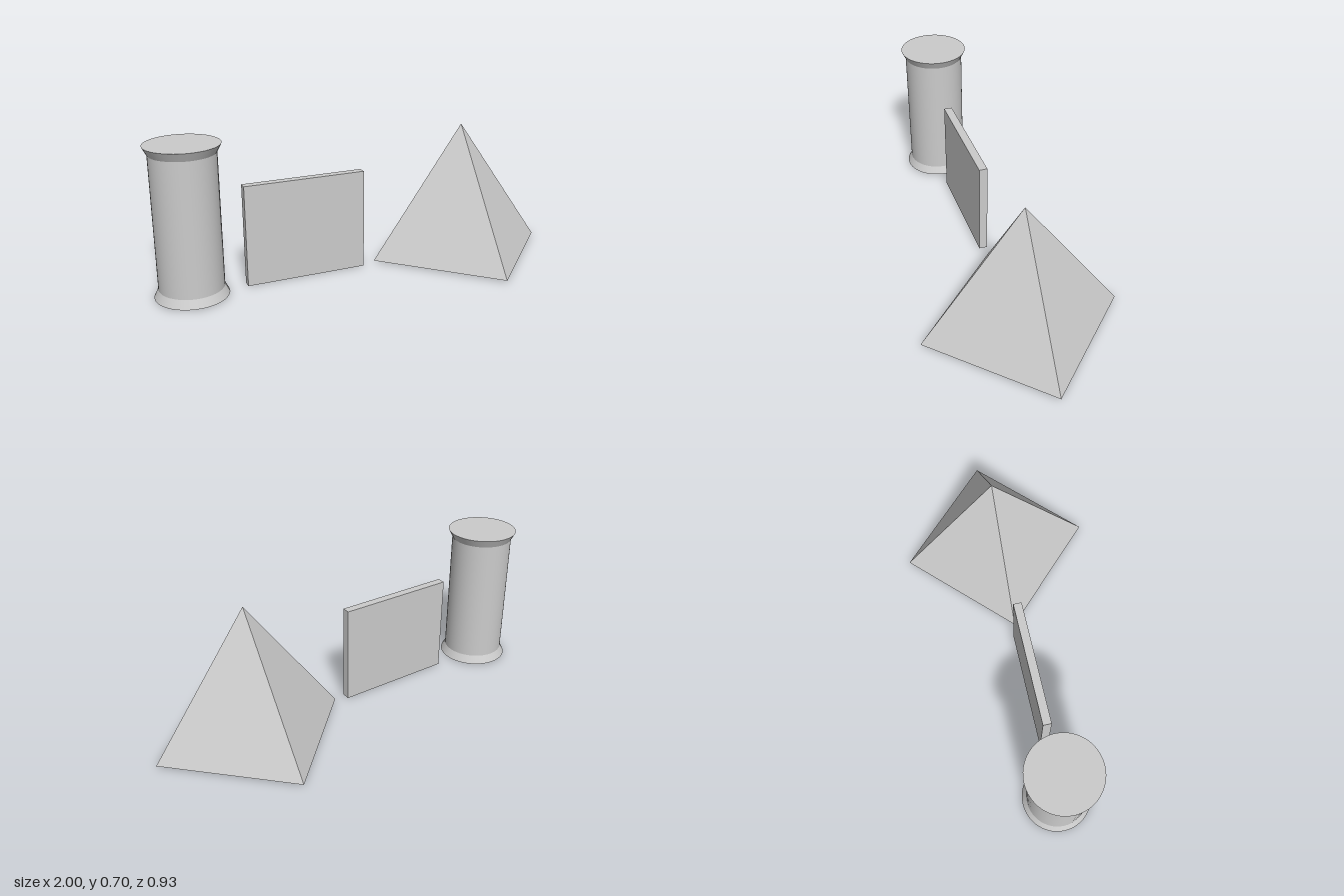
import * as THREE from 'three';

export function createModel() {
  const model = new THREE.Group();
  const smooth = new THREE.MeshStandardMaterial({ color: 0xcccccc });
  const flat = new THREE.MeshStandardMaterial({ color: 0xcccccc, flatShading: true });

  const add = (parent, name, geometry, material, x, y) => {
    const mesh = new THREE.Mesh(geometry, material);
    mesh.name = name;
    mesh.position.set(x, y, 0);
    parent.add(mesh);
  };

  // Round column: a shaft between two flared ends, closed by flat discs
  const column = new THREE.Group();
  column.name = 'column';
  column.position.set(-0.833, 0.004, 0);
  const shaftR = 0.147, flareR = 0.167, flareH = 0.039, height = 0.696, sides = 48;
  const shaftH = height - 2 * flareH;
  add(column, 'columnShaft', new THREE.CylinderGeometry(shaftR, shaftR, shaftH, sides, 1, true), smooth, 0, height / 2);
  add(column, 'columnBase', new THREE.CylinderGeometry(shaftR, flareR, flareH, sides), smooth, 0, flareH / 2);
  add(column, 'columnCapital', new THREE.CylinderGeometry(flareR, shaftR, flareH, sides), smooth, 0, height - flareH / 2);
  model.add(column);

  // Thin upright wall panel
  add(model, 'wallPanel', new THREE.BoxGeometry(0.58, 0.48, 0.04), flat, -0.29, 0.24);

  // Four-sided pyramid with its corners on the axes
  add(model, 'pyramid', new THREE.ConeGeometry(0.467, 0.645, 4), flat, 0.53, 0.007 + 0.645 / 2);

  return model;
}
